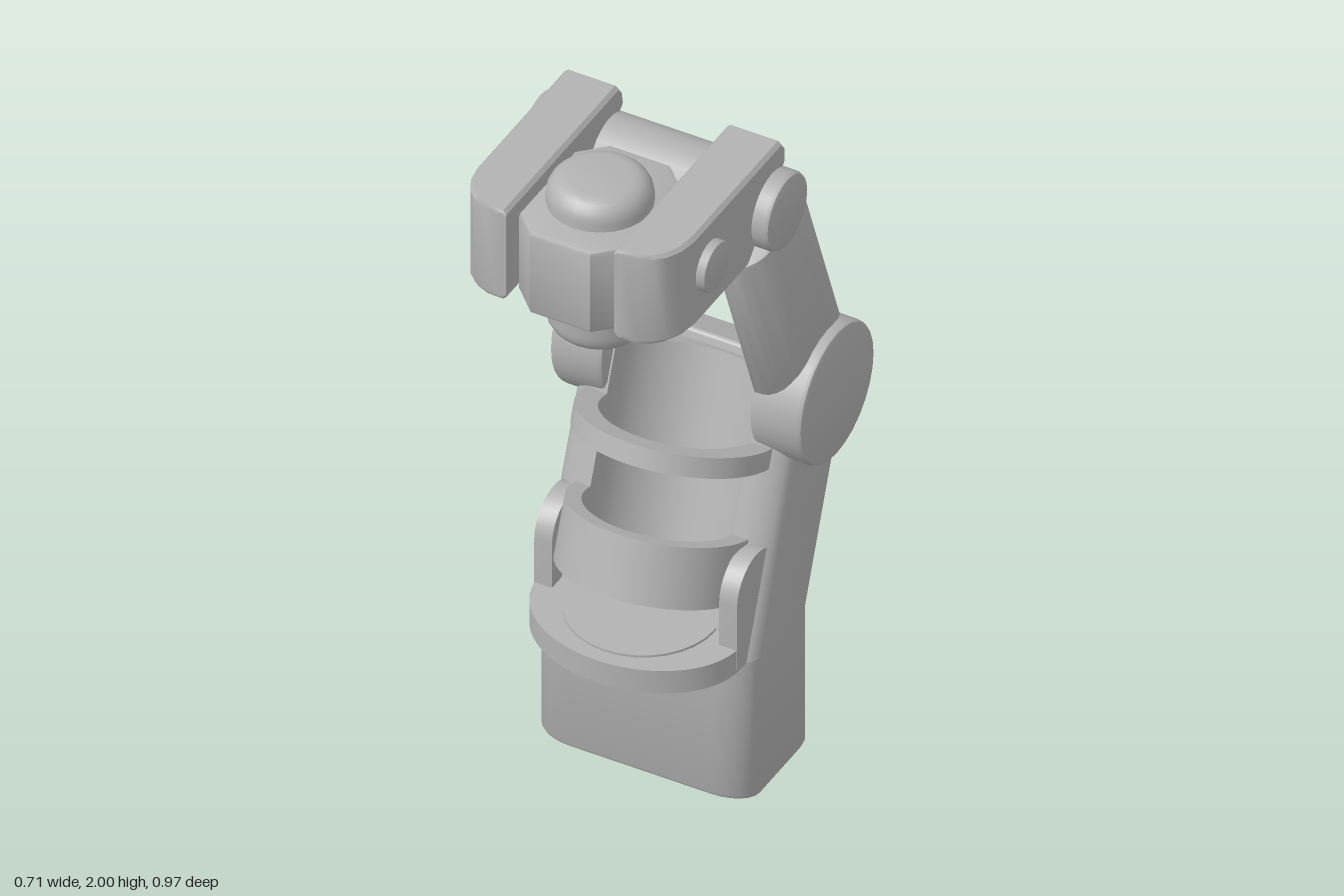
import * as THREE from 'three';
import { toCreasedNormals } from 'three/addons/utils/BufferGeometryUtils.js';
import { RoundedBoxGeometry } from 'three/addons/geometries/RoundedBoxGeometry.js';

const TILT = THREE.MathUtils.degToRad(20);
const grey = new THREE.MeshStandardMaterial({ color: 0xb2b2b2 });
grey.name = 'plain grey';

function add(parent, name, geometry, x = 0, y = 0, z = 0) {
  const mesh = new THREE.Mesh(geometry, grey);
  mesh.name = name;
  mesh.position.set(x, y, z);
  parent.add(mesh);
  return mesh;
}

// Extrude a plan outline of [x, z] points upward from y0 to y1
function extrudeUp(points, y0, y1, bevel = 0) {
  const shape = new THREE.Shape(points.map(([x, z]) => new THREE.Vector2(x, -z)));
  const g = new THREE.ExtrudeGeometry(shape, {
    depth: y1 - y0 - 2 * bevel, bevelEnabled: bevel > 0, bevelThickness: bevel,
    bevelSize: bevel, bevelOffset: -bevel, bevelSegments: 2,
  });
  g.rotateX(-Math.PI / 2).translate(0, y0 + bevel, 0);
  return toCreasedNormals(g, 0.6);
}

// Skin convex rings of [x, y, z] points, with both ends capped
function loft(rings) {
  const pos = [], n = rings[0].length, last = rings[rings.length - 1];
  const tri = (a, b, c) => pos.push(...a, ...b, ...c);
  for (let i = 0; i < rings.length - 1; i++) {
    for (let j = 0; j < n; j++) {
      const k = (j + 1) % n;
      tri(rings[i][j], rings[i][k], rings[i + 1][k]);
      tri(rings[i][j], rings[i + 1][k], rings[i + 1][j]);
    }
  }
  for (let j = 1; j < n - 1; j++) {
    tri(last[0], last[j], last[j + 1]);
    tri(rings[0][0], rings[0][j + 1], rings[0][j]);
  }
  const g = new THREE.BufferGeometry();
  g.setAttribute('position', new THREE.Float32BufferAttribute(pos, 3));
  return toCreasedNormals(g, 0.6);
}

// Cylinder about y with rounded rims, centred on the origin
function roundedCylinder(r, h, bevel, sides = 28, steps = 2) {
  const profile = [new THREE.Vector2(0, -h / 2)];
  for (const end of [-1, 1]) {
    for (let i = 0; i <= steps; i++) {
      const a = (end < 0 ? i - steps : i) / steps * Math.PI / 2;
      profile.push(new THREE.Vector2(r - bevel + bevel * Math.cos(a),
        end * (h / 2 - bevel) + bevel * Math.sin(a)));
    }
  }
  profile.push(new THREE.Vector2(0, h / 2));
  return toCreasedNormals(new THREE.LatheGeometry(profile, sides), 0.6);
}
const sideCylinder = (r, h, bevel, sides) => roundedCylinder(r, h, bevel, sides).rotateZ(Math.PI / 2);

function arc(cx, cz, rx, rz, a0, a1, steps) {
  return Array.from({ length: steps + 1 }, (_, i) => {
    const a = a0 + (a1 - a0) * i / steps;
    return [cx + rx * Math.cos(a), cz + rz * Math.sin(a)];
  });
}

export function createModel() {
  const model = new THREE.Group();
  model.name = 'jointedHolder';
  const { PI } = Math, D = 0.305;

  // Body outline, front face at z = 0
  const half = [
    ...arc(0.2, -0.06, 0.105, 0.06, PI / 2, 0, 6),
    ...arc(0.26, -D + 0.045, 0.045, 0.045, 0, -PI / 2, 4),
  ];
  const outline = [...half, ...half.slice().reverse().map(([x, z]) => [-x, z])];

  // Upright lower body with a softened bottom edge
  const bodyRing = (y, inset) => outline.map(([x, z]) => [
    x * (1 - inset / 0.305), y, 0.08 + (z + D / 2) / Math.cos(TILT) * (1 - inset / 0.16) - D / 2 / Math.cos(TILT)]);
  add(model, 'lowerBody', loft([bodyRing(0, 0.014), bodyRing(0.005, 0.004), bodyRing(0.015, 0), bodyRing(0.43, 0)]));

  // Upper body leans back and has a round groove down its front
  const upper = new THREE.Group();
  upper.name = 'upperBody';
  upper.position.set(0, 0.43, 0.08);
  upper.rotation.x = -TILT;
  model.add(upper);
  const groove = arc(0, 0, 0.2, 0.2, PI, 2 * PI, 24).slice(1, -1);
  const trough = extrudeUp([...outline, ...groove], 0, 0.7);
  const p = trough.attributes.position;
  for (let i = 0; i < p.count; i++) {
    if (p.getY(i) < 0.01) p.setY(i, -p.getZ(i) * Math.tan(TILT));
  }
  add(upper, 'groovedBody', trough);

  // Hoops across the groove
  const hoop = (R, y0, y1) => extrudeUp([
    ...arc(0, 0, R, R, -0.2, PI + 0.2, 28), ...arc(0, 0, 0.2, 0.2, PI + 0.2, -0.2, 28)], y0, y1);
  add(upper, 'upperHoop', hoop(0.26, 0.52, 0.575));
  add(upper, 'middleHoop', hoop(0.242, 0.163, 0.329));

  // Shelf, floor and side cheeks at the foot of the groove
  add(model, 'shelf', extrudeUp([
    [0.285, 0], ...arc(0, 0.08, 0.285, 0.22, 0, PI, 28), [-0.285, 0]], 0.43, 0.5));
  add(model, 'grooveFloor', new THREE.CylinderGeometry(0.2, 0.2, 0.065, 32), 0, 0.474, 0.06);
  const cheekShape = new THREE.Shape([
    [-0.1, 0.44], [0.1, 0.44], ...arc(0, 0.633, 0.1, 0.1, 0, PI, 14)].map(([z, y]) => new THREE.Vector2(z, y)));
  for (const x of [0.285, -0.235]) {
    const g = new THREE.ExtrudeGeometry(cheekShape, { depth: 0.05, bevelEnabled: false });
    add(model, 'cheek', toCreasedNormals(g.rotateY(-PI / 2), 0.6), x);
  }

  // Block on the upper back
  const block = add(model, 'backBlock', new RoundedBoxGeometry(0.33, 0.21, 0.12, 2, 0.012), 0, 0.92, -0.394);
  block.rotation.x = -TILT;

  // Elbow discs and the arms that lean forward
  for (const side of [-1, 1]) {
    add(model, 'elbowDisc', sideCylinder(0.19, 0.15, 0.015, 28), side * 0.28, 1.062, -0.29);
    const section = [
      [0.215, 0.162], ...arc(0.235, 0.06, 0.09, 0.102, PI / 2, 0, 7),
      ...arc(0.235, -0.06, 0.09, 0.102, 0, -PI / 2, 7), [0.215, -0.162],
    ].map(([x, z]) => [side * x, z]);
    const arm = add(model, 'arm', extrudeUp(section, 0, 0.7, 0.008), 0, 1.06, -0.315);
    arm.rotation.x = TILT;
  }

  // Cross bar at the top of the arms
  add(model, 'crossBar', sideCylinder(0.105, 0.705, 0.015, 28), 0, 1.795, -0.042);

  // Head side plates: [z, bottom, top, outer x] from back to front
  const stations = [
    [-0.11, 1.89, 1.915, 0.3], [-0.105, 1.885, 1.945, 0.305], [-0.09, 1.87, 1.965, 0.305],
    [0.05, 1.72, 1.965, 0.305], [0.08, 1.69, 1.965, 0.305], [0.35, 1.69, 1.965, 0.305],
    [0.4, 1.69, 1.965, 0.297], [0.44, 1.69, 1.965, 0.276], [0.465, 1.69, 1.965, 0.25],
    [0.48, 1.69, 1.965, 0.215], [0.485, 1.697, 1.958, 0.18],
  ];
  for (const side of [-1, 1]) {
    add(model, 'headSidePlate', loft(stations.map(([z, b, t, xo]) => {
      const l = Math.min(side * 0.152, side * xo), r = Math.max(side * 0.152, side * xo), c = 0.01;
      return [[l + c, b], [r - c, b], [r, b + c], [r, t - c], [r - c, t], [l + c, t], [l, t - c], [l, b + c]]
        .map(([x, y]) => [x, y, z]);
    })));
    add(model, 'sidePeg', sideCylinder(0.068, 0.06, 0.008, 24), side * 0.3, 1.835, 0.278);
  }

  // Eight-sided centre block with a round-ended barrel through it
  const quarter = [[0.15, 0.14], [0.085, 0.205]];
  const octagon = [
    [0.15, -0.14], ...quarter, [-0.085, 0.205], [-0.15, 0.14], [-0.15, -0.14], [-0.085, -0.205], [0.085, -0.205],
  ].map(([x, z]) => [x, z + 0.28]);
  add(model, 'centreBlock', extrudeUp(octagon, 1.675, 1.925, 0.012));
  add(model, 'barrel', roundedCylinder(0.135, 0.468, 0.055, 24, 5), 0, 1.766, 0.28);

  return model;
}
